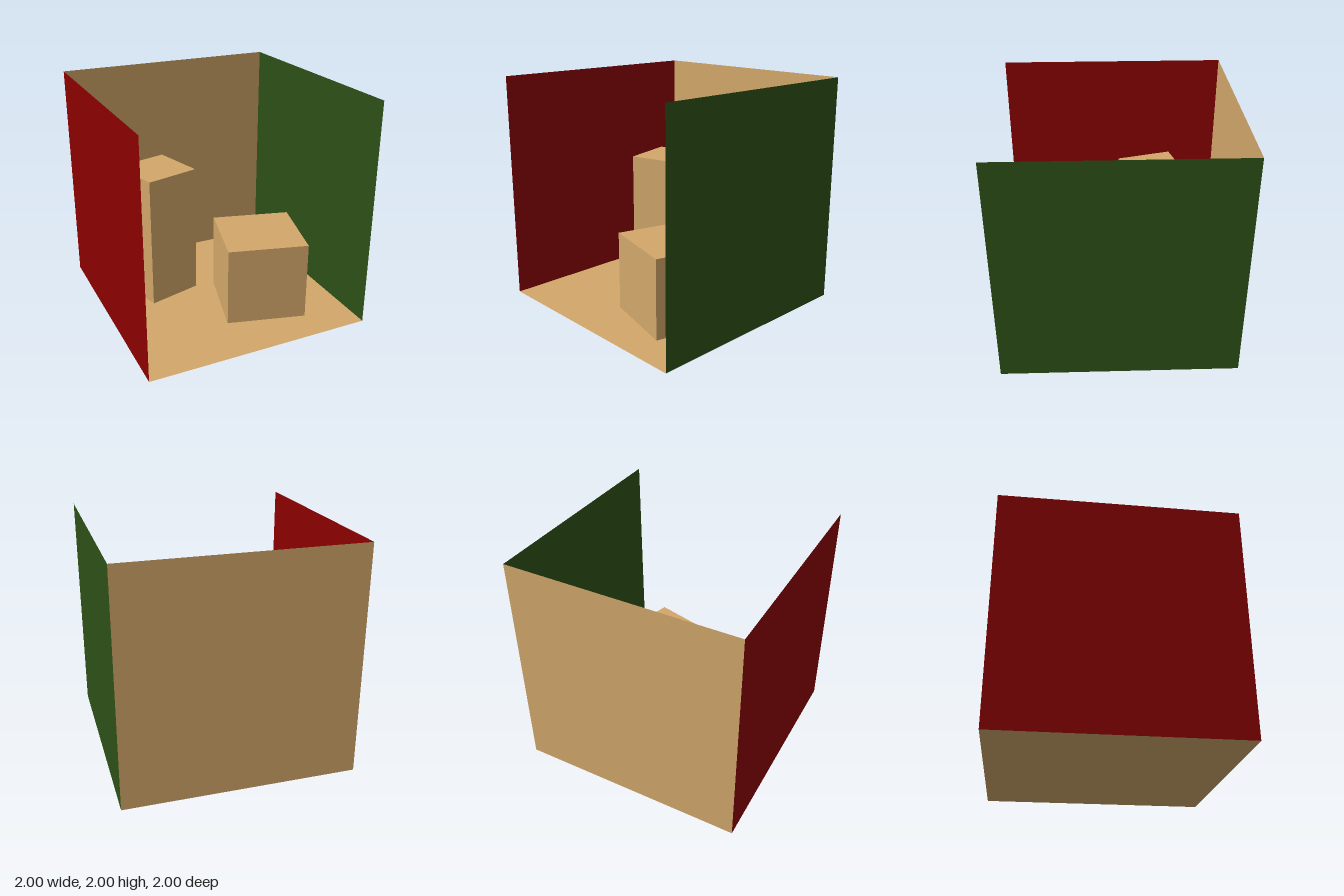
import * as THREE from 'three';

const TAN = 0xd2a76a, RED = 0x8b0000, GREEN = 0x2d5016;

export function createModel() {
  const room = new THREE.Group();
  room.name = 'openRoom';

  // Thin square panels, seen from both sides
  const panel = (name, color, position, rotation) => {
    const material = new THREE.MeshStandardMaterial({ color, side: THREE.DoubleSide });
    const mesh = new THREE.Mesh(new THREE.PlaneGeometry(2, 2), material);
    mesh.name = name;
    mesh.position.set(...position);
    mesh.rotation.set(...rotation);
    room.add(mesh);
  };
  panel('floor', TAN, [0, 0, 0], [-Math.PI / 2, 0, 0]);
  panel('backWall', TAN, [0, 1, -1], [0, 0, 0]);
  panel('rightWall', RED, [-1, 1, 0], [0, Math.PI / 2, 0]);
  panel('leftWall', GREEN, [1, 1, 0], [0, -Math.PI / 2, 0]);

  // Square blocks standing on the floor, turned about the vertical
  const block = (name, width, height, x, z, degrees) => {
    const material = new THREE.MeshStandardMaterial({ color: TAN });
    const mesh = new THREE.Mesh(new THREE.BoxGeometry(width, height, width), material);
    mesh.name = name;
    mesh.position.set(x, height / 2, z);
    mesh.rotation.y = THREE.MathUtils.degToRad(degrees);
    room.add(mesh);
  };
  block('tallBlock', 0.5, 1.2, -0.39, -0.35, 15);
  block('shortBlock', 0.7, 0.7, 0.335, 0.285, -15);

  return room;
}
